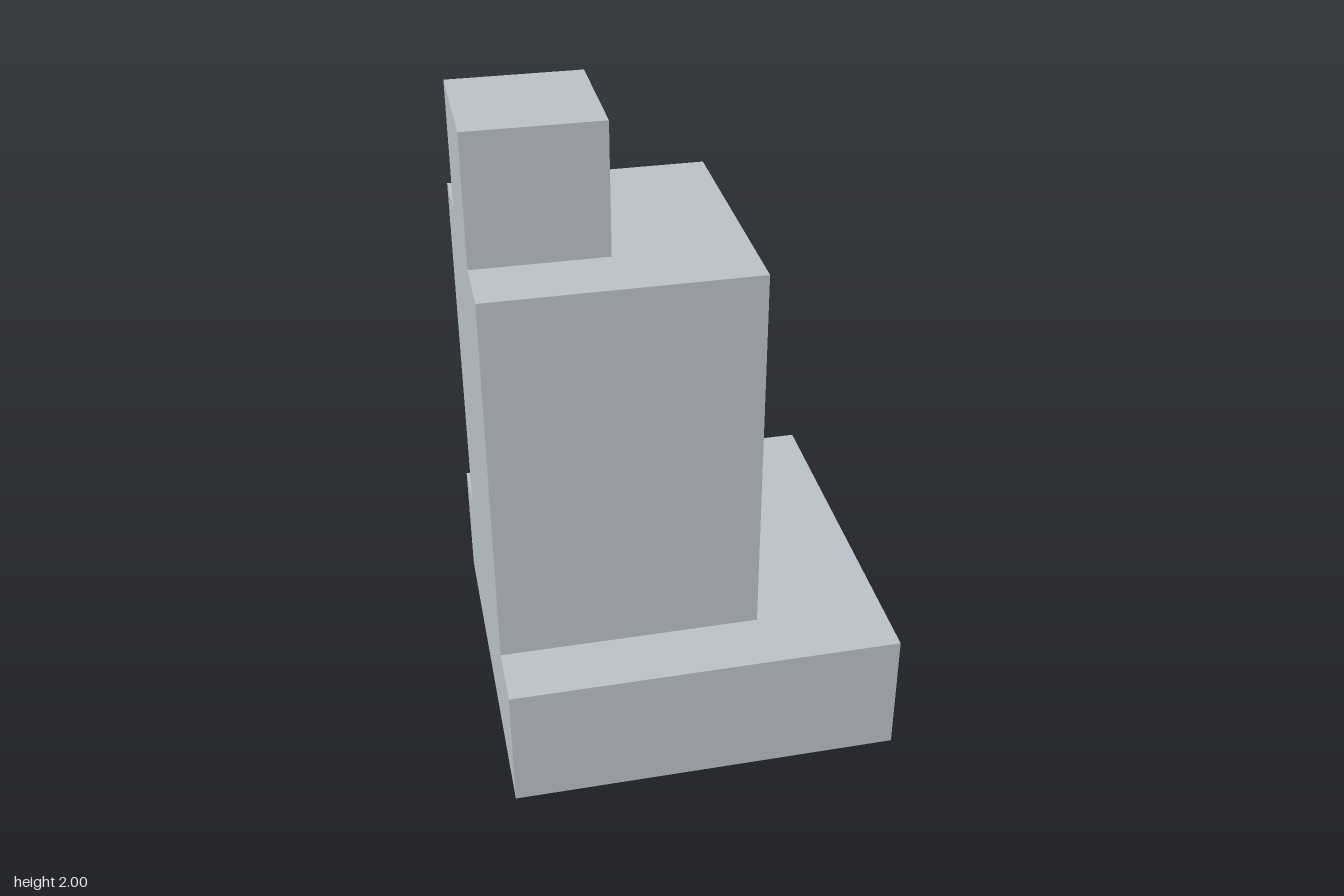
import * as THREE from 'three';

export function createModel() {
  const model = new THREE.Group();
  model.name = 'steppedTower';

  const paleGrey = new THREE.MeshStandardMaterial({ color: 0xb8c0c8 });
  paleGrey.name = 'paleGrey';

  // Stacked blocks, all flush with one side wall at x = -0.6
  const wallX = -0.6;
  const blocks = [
    { name: 'base', width: 1.2, height: 0.4, depth: 1.2 },
    { name: 'shaft', width: 0.8, height: 1.2, depth: 0.8 },
    { name: 'topCube', width: 0.4, height: 0.4, depth: 0.4 },
  ];

  let y = 0;
  for (const { name, width, height, depth } of blocks) {
    const block = new THREE.Mesh(new THREE.BoxGeometry(width, height, depth), paleGrey);
    block.name = name;
    block.position.set(wallX + width / 2, y + height / 2, 0);
    model.add(block);
    y += height;
  }

  return model;
}
